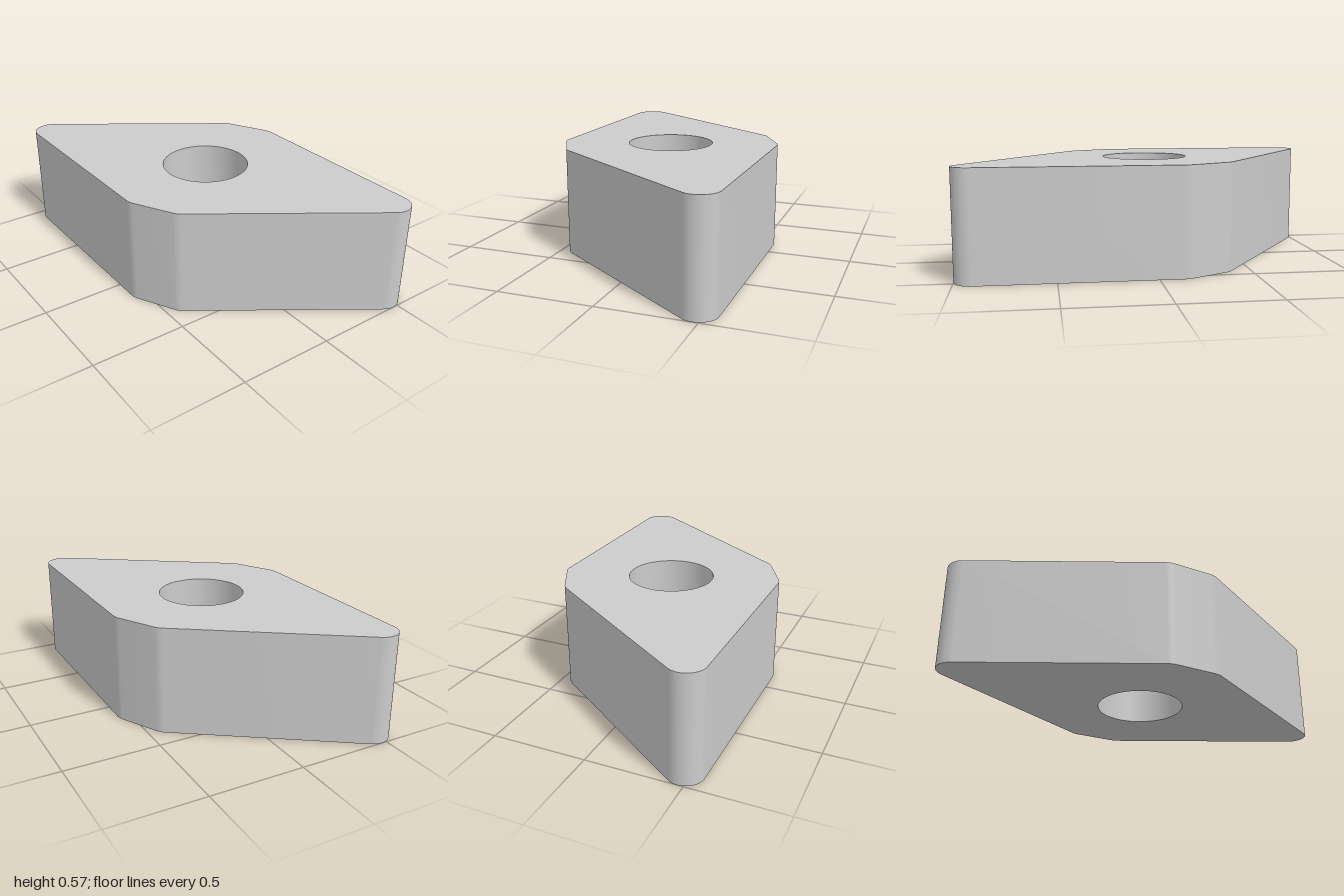
import * as THREE from 'three';
import { toCreasedNormals } from 'three/addons/utils/BufferGeometryUtils.js';

const HEIGHT = 0.566;
const CORNER_RADIUS = 0.095;
const HOLE_RADIUS = 0.228;

// Rounded corners of one half: centre x, centre y, start and end angle in degrees
const CORNERS = [
  [0.905, 0.471, -35, 90],        // acute nose
  [-0.123, 0.471, 90, 117.5],     // start of the chamfer
  [-0.317, 0.369, 117.5, 145],    // end of the chamfer
];

export function createModel() {
  const group = new THREE.Group();
  group.name = 'rhombicInsert';

  // 55 degree rhombus with rounded noses and chamfered obtuse corners;
  // the second half is the first turned by 180 degrees
  const outline = new THREE.Shape();
  for (const [sign, turn] of [[1, 0], [-1, 180]]) {
    for (const [x, y, from, to] of CORNERS) {
      outline.absarc(sign * x, sign * y, CORNER_RADIUS,
        THREE.MathUtils.degToRad(from + turn), THREE.MathUtils.degToRad(to + turn), false);
    }
  }
  outline.closePath();

  // Round through hole in the middle
  const hole = new THREE.Path();
  hole.absarc(0, 0, HOLE_RADIUS, 0, Math.PI * 2, true);
  outline.holes.push(hole);

  const solid = new THREE.ExtrudeGeometry(outline, {
    depth: HEIGHT, bevelEnabled: false, curveSegments: 32,
  });
  solid.rotateX(-Math.PI / 2);

  const body = new THREE.Mesh(
    toCreasedNormals(solid, 0.5),
    new THREE.MeshStandardMaterial({ color: 0xcccccc }),
  );
  body.name = 'body';
  group.add(body);
  return group;
}
